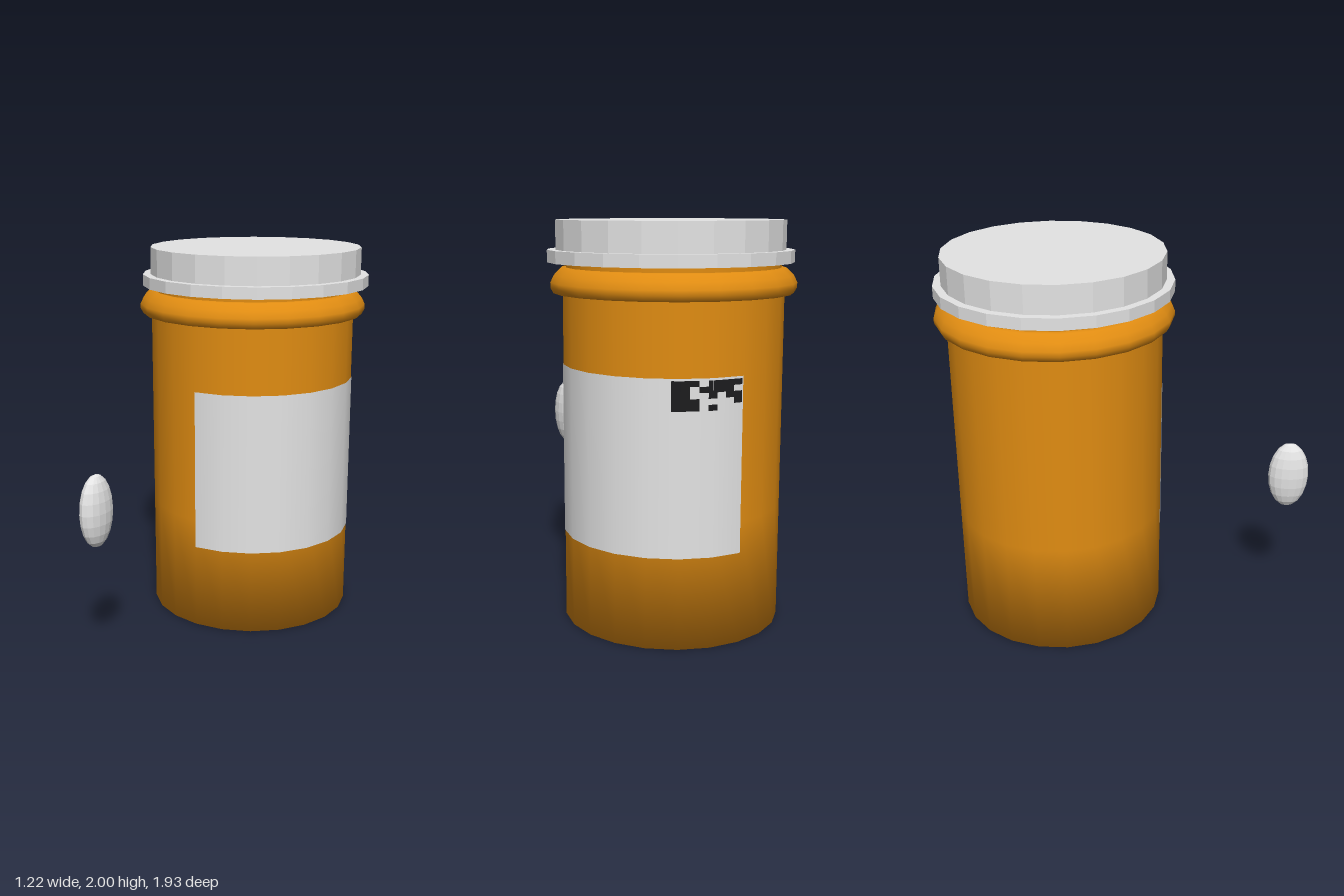
import * as THREE from 'three';

const SIDES = 22, RADIUS = 0.547;

const material = (name, color, extra = {}) => {
  const m = new THREE.MeshStandardMaterial({ color, ...extra });
  m.name = name;
  return m;
};

// Point on the faceted bottle wall; u counts facets from the front
function wallPoint(u, y, lift) {
  const i = Math.floor(u), t = u - i, r = RADIUS + lift;
  const a = (i / SIDES) * Math.PI * 2, b = ((i + 1) / SIDES) * Math.PI * 2;
  return [
    r * THREE.MathUtils.lerp(Math.sin(a), Math.sin(b), t), y,
    r * THREE.MathUtils.lerp(Math.cos(a), Math.cos(b), t),
  ];
}

// Dark printed cells following the wall facets
function printedCells(rows, u0, u1, yTop, yBottom) {
  const pos = [];
  const cols = rows[0].length, du = (u1 - u0) / cols, dy = (yTop - yBottom) / rows.length;
  rows.forEach((row, r) => [...row].forEach((cell, c) => {
    if (cell !== '#') return;
    const ua = u0 + c * du, ub = ua + du, ya = yTop - r * dy, yb = ya - dy;
    const [p, q, s, t] = [[ua, yb], [ub, yb], [ub, ya], [ua, ya]].map(([u, y]) => wallPoint(u, y, 0.006));
    pos.push(...p, ...q, ...s, ...p, ...s, ...t);
  }));
  const g = new THREE.BufferGeometry();
  g.setAttribute('position', new THREE.Float32BufferAttribute(pos, 3));
  g.computeVertexNormals();
  return g;
}

export function createModel() {
  const model = new THREE.Group();
  model.name = 'pillBottle';

  const orange = material('amberPlastic', 0xe08c12);
  const white = material('whitePlastic', 0xe4e4e4, { flatShading: true });
  const paper = material('labelPaper', 0xe4e4e4, { side: THREE.DoubleSide });
  const ink = material('blackInk', 0x1c1c1e);

  const add = (parent, name, geometry, mat, x = 0, y = 0, z = 0) => {
    const mesh = new THREE.Mesh(geometry, mat);
    mesh.name = name;
    mesh.position.set(x, y, z);
    parent.add(mesh);
    return mesh;
  };

  // Bottle with its label
  const bottle = new THREE.Group();
  bottle.name = 'bottle';
  bottle.position.set(-0.01, 0, -0.36);
  model.add(bottle);

  const profile = (pts) => new THREE.LatheGeometry(pts.map(([x, y]) => new THREE.Vector2(x, y)), SIDES);
  add(bottle, 'body', profile([[0, 0], [RADIUS, 0], [RADIUS, 0.6], [RADIUS, 1.3], [RADIUS, 1.66]]), orange);
  add(bottle, 'neckRing', profile([
    [0.53, 1.645], [0.592, 1.648], [0.607, 1.675], [0.607, 1.7], [0.59, 1.735], [0.555, 1.77], [0.525, 1.772],
  ]), orange);
  add(bottle, 'neck', new THREE.CylinderGeometry(0.53, 0.53, 0.1, SIDES), orange, 0, 1.76, 0);

  // Label wraps the left half, from front to back
  add(bottle, 'label',
    new THREE.CylinderGeometry(RADIUS + 0.003, RADIUS + 0.003, 0.85, SIDES / 2, 1, true, 0, Math.PI),
    paper, 0, 0.875, 0);
  add(bottle, 'labelPrint', printedCells([
    '###.####',
    '##.####.',
    '##..#.##',
    '###....#',
    '###.#...',
  ], 8.75, 10.95, 1.29, 1.15), ink);

  // Stepped screw cap
  const cap = new THREE.Group();
  cap.name = 'cap';
  cap.position.set(0.008, 0, -0.36);
  model.add(cap);
  add(cap, 'capFlange', new THREE.CylinderGeometry(0.606, 0.606, 0.06, SIDES), white, 0, 1.827, 0);
  add(cap, 'capTop', new THREE.CylinderGeometry(0.564, 0.564, 0.145, SIDES), white, 0, 1.9275, 0);

  // Loose tablet floating in front
  add(model, 'tablet', new THREE.SphereGeometry(1, 16, 10), white, -0.115, 0.835, 0.863)
    .scale.set(0.06, 0.184, 0.105);

  return model;
}
